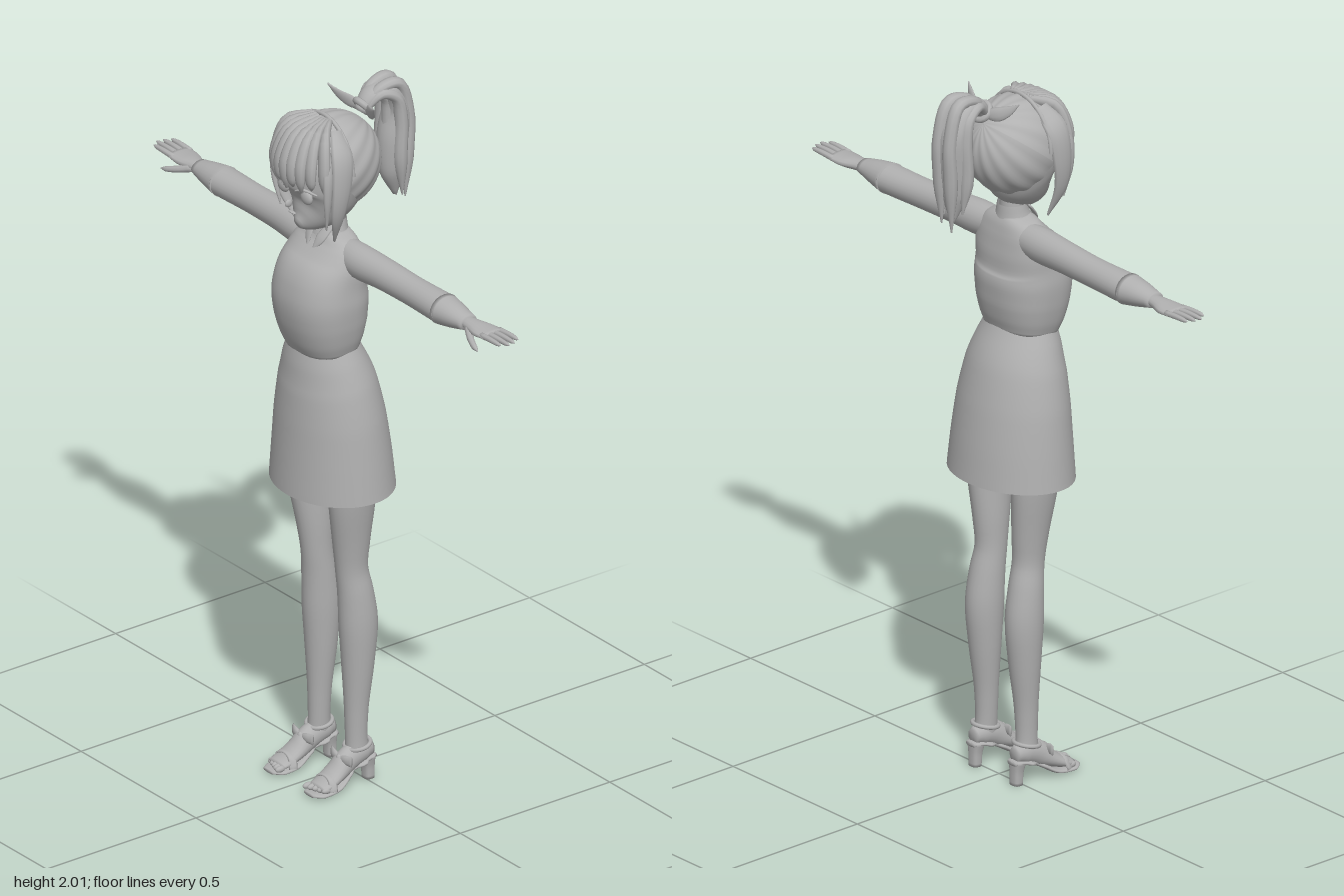
import * as THREE from 'three';

const clay = new THREE.MeshStandardMaterial({ color: 0xb0b0b0, side: THREE.DoubleSide });
clay.name = 'grey';
const X = [1, 0, 0], Y = [0, 1, 0], Z = [0, 0, 1];

// Smooth tube through stations [x, y, z, a, b]: a is the half width across ref, b along ref.
// square < 1 makes the section boxier.
function sweep(stations, { ref = Z, rows = 20, sides = 20, caps = true, square = 1 } = {}) {
  const path = new THREE.CatmullRomCurve3(stations.map(s => new THREE.Vector3(s[0], s[1], s[2])));
  const size = new THREE.CatmullRomCurve3(stations.map(s => new THREE.Vector3(s[3], s[4], 0)));
  const r = new THREE.Vector3(...ref), u = new THREE.Vector3(), v = new THREE.Vector3();
  const pos = [], index = [];
  const bend = n => Math.sign(n) * Math.abs(n) ** square;
  for (let i = 0; i <= rows; i++) {
    const t = i / rows, p = path.getPoint(t), s = size.getPoint(t), d = path.getTangent(t);
    u.crossVectors(r, d).normalize();
    v.crossVectors(d, u);
    for (let j = 0; j < sides; j++) {
      const k = j / sides * Math.PI * 2;
      const q = p.clone().addScaledVector(u, bend(Math.cos(k)) * Math.max(s.x, 0.001))
        .addScaledVector(v, bend(Math.sin(k)) * Math.max(s.y, 0.001));
      pos.push(q.x, q.y, q.z);
      if (i < rows) {
        const a = i * sides + j, b = i * sides + (j + 1) % sides;
        index.push(a, b, a + sides, b, b + sides, a + sides);
      }
    }
  }
  if (caps) {
    const n = pos.length / 3, last = rows * sides;
    for (const t of [0, 1]) pos.push(...path.getPoint(t).toArray());
    for (let j = 0; j < sides; j++) {
      const k = (j + 1) % sides;
      index.push(n, k, j, n + 1, last + j, last + k);
    }
  }
  const g = new THREE.BufferGeometry();
  g.setAttribute('position', new THREE.Float32BufferAttribute(pos, 3));
  g.setIndex(index);
  g.computeVertexNormals();
  return g;
}

const ball = (x, y, z, rx, ry, rz) =>
  new THREE.SphereGeometry(1, 16, 12).scale(rx, ry, rz).translate(x, y, z);

export function createModel() {
  const model = new THREE.Group();
  const add = (name, geometry) => {
    const m = new THREE.Mesh(geometry, clay);
    m.name = name;
    model.add(m);
    return m;
  };

  // Clothes
  add('skirt', sweep([
    [0, 1.295, 0.078, 0.108, 0.085], [0, 1.25, 0.072, 0.128, 0.1], [0, 1.18, 0.061, 0.152, 0.119],
    [0, 1.08, 0.052, 0.172, 0.134], [0, 0.97, 0.046, 0.184, 0.145], [0, 0.87, 0.043, 0.193, 0.153],
  ], { caps: false, sides: 48, rows: 28 }));
  add('blouse', sweep([
    [0, 1.285, 0.077, 0.108, 0.084], [0, 1.32, 0.08, 0.12, 0.098], [0, 1.37, 0.083, 0.13, 0.11],
    [0, 1.43, 0.085, 0.135, 0.115], [0, 1.48, 0.08, 0.132, 0.108], [0, 1.53, 0.063, 0.13, 0.085],
    [0, 1.575, 0.051, 0.118, 0.062], [0, 1.605, 0.047, 0.085, 0.048], [0, 1.62, 0.046, 0.045, 0.038],
  ], { sides: 48, rows: 36, square: 0.85 }));
  add('collar', sweep([
    [0, 1.6, 0.05, 0.056, 0.05], [0, 1.625, 0.047, 0.047, 0.042], [0, 1.65, 0.045, 0.042, 0.037],
  ], { caps: false, sides: 28, rows: 6 }));

  // Neck and face
  add('neck', sweep([[0, 1.58, 0.045, 0.042, 0.036], [0, 1.65, 0.047, 0.035, 0.033],
    [0, 1.74, 0.055, 0.036, 0.036]]));
  add('head', sweep([
    [0, 1.655, 0.16, 0.012, 0.014], [0, 1.667, 0.137, 0.04, 0.044], [0, 1.69, 0.108, 0.068, 0.078],
    [0, 1.725, 0.085, 0.092, 0.106], [0, 1.77, 0.073, 0.106, 0.119], [0, 1.83, 0.066, 0.112, 0.126],
    [0, 1.89, 0.06, 0.092, 0.105], [0, 1.935, 0.055, 0.03, 0.035],
  ], { sides: 36, rows: 32 }));
  add('nose', ball(0, 1.727, 0.19, 0.006, 0.011, 0.012));
  add('mouth', ball(0, 1.697, 0.178, 0.014, 0.003, 0.006));

  // Hair cap with locks gathered towards the back
  const cap = new THREE.SphereGeometry(1, 96, 28, 0, Math.PI * 2, 0, Math.PI * 0.6);
  const p = cap.attributes.position;
  for (let i = 0; i < p.count; i++) {
    const x = p.getX(i), z = p.getZ(i);
    const k = 1 + 0.014 * Math.cos(16 * Math.atan2(z, x)) * Math.hypot(x, z);
    p.setXYZ(i, x * k, p.getY(i) * k, z * k);
  }
  cap.rotateX(-0.87).scale(0.127, 0.137, 0.145).translate(0, 1.815, 0.055);
  cap.computeVertexNormals();
  add('hairCap', cap);

  // Fringe
  for (let i = -4; i <= 4; i++) {
    const x = i * 0.025, z = 0.05 + 0.158 * Math.sqrt(1 - (x / 0.135) ** 2);
    const end = 1.775 + 0.012 * (Math.abs(i) % 2);
    add('fringeLock', sweep([
      [x * 0.35, 1.947, 0.08, 0.012, 0.008], [x * 0.8, 1.925, 0.085 + (z - 0.08) * 0.6, 0.018, 0.013],
      [x, 1.86, z - 0.008, 0.02, 0.014], [x * 1.03, 1.81, z - 0.005, 0.017, 0.011],
      [x * 0.98, end, z - 0.012, 0.003, 0.003],
    ], { rows: 14, sides: 10 }));
  }
  add('hairBand', new THREE.TorusGeometry(0.127, 0.006, 8, 40, Math.PI).scale(1, 1.06, 1)
    .translate(0, 1.82, 0.072));

  // Ponytail: one core and tapering locks around it
  add('ponytailCore', sweep([
    [0, 1.925, -0.05, 0.018, 0.02], [0, 1.965, -0.082, 0.022, 0.032], [0, 1.972, -0.13, 0.022, 0.042],
    [0, 1.91, -0.165, 0.031, 0.048], [0, 1.82, -0.158, 0.042, 0.046], [0, 1.73, -0.155, 0.037, 0.037],
    [0, 1.65, -0.165, 0.006, 0.008],
  ], { ref: X, rows: 32 }));
  for (const [x, dz, end] of [[-0.036, 0.016, 1.68], [0.036, 0.012, 1.66], [-0.02, -0.025, 1.63],
    [0.022, -0.022, 1.645], [0, 0.024, 1.7]]) {
    add('ponytailLock', sweep([
      [x * 0.4, 1.94, -0.06, 0.01, 0.01], [x * 0.8, 1.978 - dz * 0.3, -0.1, 0.014, 0.017],
      [x, 1.965 - dz, -0.148 + dz * 0.5, 0.016, 0.02], [x * 1.1, 1.89, -0.168 + dz, 0.018, 0.02],
      [x * 1.1, 1.78, -0.165 + dz, 0.019, 0.021], [x, end, -0.17 + dz * 0.6, 0.002, 0.002],
    ], { ref: X, rows: 24, sides: 10 }));
  }
  add('hairTie', new THREE.TorusGeometry(0.024, 0.01, 8, 20).rotateX(0.7).translate(0, 1.94, -0.06));

  // Mirrored parts
  for (const s of [1, -1]) {
    const side = s > 0 ? 'left' : 'right';
    const tube = (name, pts, opt) =>
      add(side + name, sweep(pts.map(([x, ...rest]) => [x * s, ...rest]), opt));
    const blob = (name, x, ...rest) => add(side + name, ball(x * s, ...rest));

    blob('Eye', 0.05, 1.757, 0.168, 0.023, 0.021, 0.011).rotation.y = 0;
    tube('EyeLid', [[0.024, 1.772, 0.187, 0.002, 0.003], [0.05, 1.781, 0.178, 0.004, 0.004],
      [0.078, 1.768, 0.155, 0.002, 0.003]], { ref: Z, rows: 8, sides: 8 });
    tube('SideLock', [
      [0.07, 1.935, 0.085, 0.02, 0.01], [0.116, 1.88, 0.1, 0.036, 0.014],
      [0.128, 1.8, 0.11, 0.032, 0.013], [0.118, 1.71, 0.115, 0.022, 0.01],
      [0.082, 1.62, 0.1, 0.003, 0.003],
    ], { ref: X, rows: 18, sides: 12 });
    tube('TempleLock', [
      [0.085, 1.9, 0.13, 0.012, 0.01], [0.112, 1.84, 0.145, 0.016, 0.011],
      [0.115, 1.76, 0.148, 0.012, 0.008], [0.1, 1.67, 0.14, 0.002, 0.002],
    ], { ref: X, rows: 14, sides: 10 });
    tube('RibbonEnd', [
      [0.01, 1.935, -0.062, 0.01, 0.006], [0.045, 1.942, -0.048, 0.02, 0.007],
      [0.075, 1.957, -0.033, 0.014, 0.005], [0.102, 1.98, -0.018, 0.001, 0.002],
    ], { rows: 12, sides: 10 });
    tube('CollarFlap', [
      [0.035, 1.645, 0.07, 0.012, 0.004], [0.026, 1.61, 0.1, 0.016, 0.004], [0.012, 1.575, 0.118, 0.003, 0.003],
    ], { rows: 8, sides: 10 });

    // Sleeve and cuff
    tube('Sleeve', [
      [0.06, 1.563, 0.045, 0.044, 0.042], [0.13, 1.56, 0.045, 0.048, 0.046], [0.22, 1.56, 0.041, 0.044, 0.043],
      [0.34, 1.557, 0.038, 0.041, 0.041], [0.44, 1.556, 0.037, 0.041, 0.045], [0.485, 1.556, 0.037, 0.041, 0.047],
    ], { rows: 26, sides: 24 });
    tube('Cuff', [
      [0.478, 1.556, 0.037, 0.043, 0.048], [0.53, 1.557, 0.038, 0.034, 0.039], [0.585, 1.558, 0.038, 0.021, 0.028],
    ], { rows: 8, sides: 24 });

    // Hand
    tube('Palm', [
      [0.57, 1.558, 0.037, 0.015, 0.02], [0.605, 1.557, 0.036, 0.016, 0.026],
      [0.645, 1.557, 0.033, 0.014, 0.037], [0.685, 1.56, 0.031, 0.009, 0.038],
    ], { rows: 12, sides: 16 });
    [[0.002, 0.755], [0.022, 0.765], [0.042, 0.768], [0.061, 0.755]].forEach(([z, tip]) =>
      tube('Finger', [
        [0.67, 1.56, z * 0.95 + 0.001, 0.008, 0.009], [0.715, 1.563, z, 0.0075, 0.0075],
        [tip - 0.012, 1.563, z, 0.006, 0.006], [tip, 1.563, z, 0.001, 0.001],
      ], { rows: 10, sides: 8 }));
    tube('Thumb', [
      [0.6, 1.553, 0.05, 0.012, 0.012], [0.635, 1.541, 0.07, 0.01, 0.01],
      [0.67, 1.532, 0.083, 0.008, 0.008], [0.69, 1.528, 0.087, 0.001, 0.001],
    ], { rows: 10, sides: 8 });

    // Leg
    tube('Leg', [
      [0.09, 1.12, 0.055, 0.07, 0.08], [0.091, 0.96, 0.051, 0.06, 0.078], [0.09, 0.85, 0.047, 0.052, 0.071],
      [0.079, 0.72, 0.041, 0.045, 0.055], [0.075, 0.63, 0.037, 0.041, 0.046], [0.078, 0.56, 0.027, 0.046, 0.05],
      [0.08, 0.47, 0.019, 0.049, 0.055], [0.08, 0.35, 0.02, 0.043, 0.046], [0.08, 0.22, 0.025, 0.032, 0.034],
      [0.081, 0.13, 0.026, 0.028, 0.031], [0.083, 0.08, 0.024, 0.028, 0.034],
    ], { rows: 40, sides: 24 });

    // Foot and sandal
    tube('Foot', [
      [0.083, 0.085, -0.02, 0.018, 0.02], [0.083, 0.088, 0.01, 0.029, 0.033], [0.084, 0.075, 0.055, 0.03, 0.035],
      [0.086, 0.047, 0.1, 0.035, 0.024], [0.088, 0.028, 0.14, 0.037, 0.015], [0.088, 0.021, 0.165, 0.033, 0.01],
    ], { ref: Y, rows: 20 });
    for (let i = 0; i < 5; i++)
      blob('Toe', 0.06 + i * 0.0142, 0.021, 0.172 - i * 0.005, 0.0085, 0.009, 0.016);
    tube('Sole', [
      [0.083, 0.066, -0.028, 0.018, 0.007], [0.083, 0.062, 0.01, 0.028, 0.007], [0.084, 0.042, 0.06, 0.028, 0.007],
      [0.087, 0.013, 0.11, 0.038, 0.007], [0.088, 0.008, 0.16, 0.04, 0.007], [0.088, 0.01, 0.19, 0.022, 0.005],
    ], { ref: Y, rows: 22, square: 0.8 });
    tube('Heel', [[0.083, 0.068, -0.008, 0.024, 0.02], [0.083, 0.035, -0.011, 0.018, 0.016],
      [0.083, 0, -0.012, 0.017, 0.015]], { rows: 8, square: 0.7 });
    tube('ToeStrap', [[0.047, 0.015, 0.138, 0.012, 0.004], [0.06, 0.041, 0.133, 0.012, 0.004],
      [0.088, 0.049, 0.13, 0.012, 0.004], [0.115, 0.041, 0.133, 0.012, 0.004], [0.128, 0.015, 0.138, 0.012, 0.004]],
    { ref: Y, rows: 14, sides: 8 });
    add(side + 'AnkleStrap', new THREE.TorusGeometry(0.035, 0.006, 8, 28).rotateX(Math.PI / 2 + 0.2)
      .translate(0.083 * s, 0.11, 0.024));

    // Sandal bow
    blob('BowKnot', 0.084, 0.086, 0.085, 0.009, 0.01, 0.009);
    for (const w of [1, -1])
      tube('BowWing', [[0.084, 0.086, 0.084, 0.006, 0.005], [0.084 + w * 0.024, 0.086, 0.082, 0.014, 0.008],
        [0.084 + w * 0.043, 0.086, 0.077, 0.016, 0.004]], { rows: 8, sides: 10 });
  }
  return model;
}
